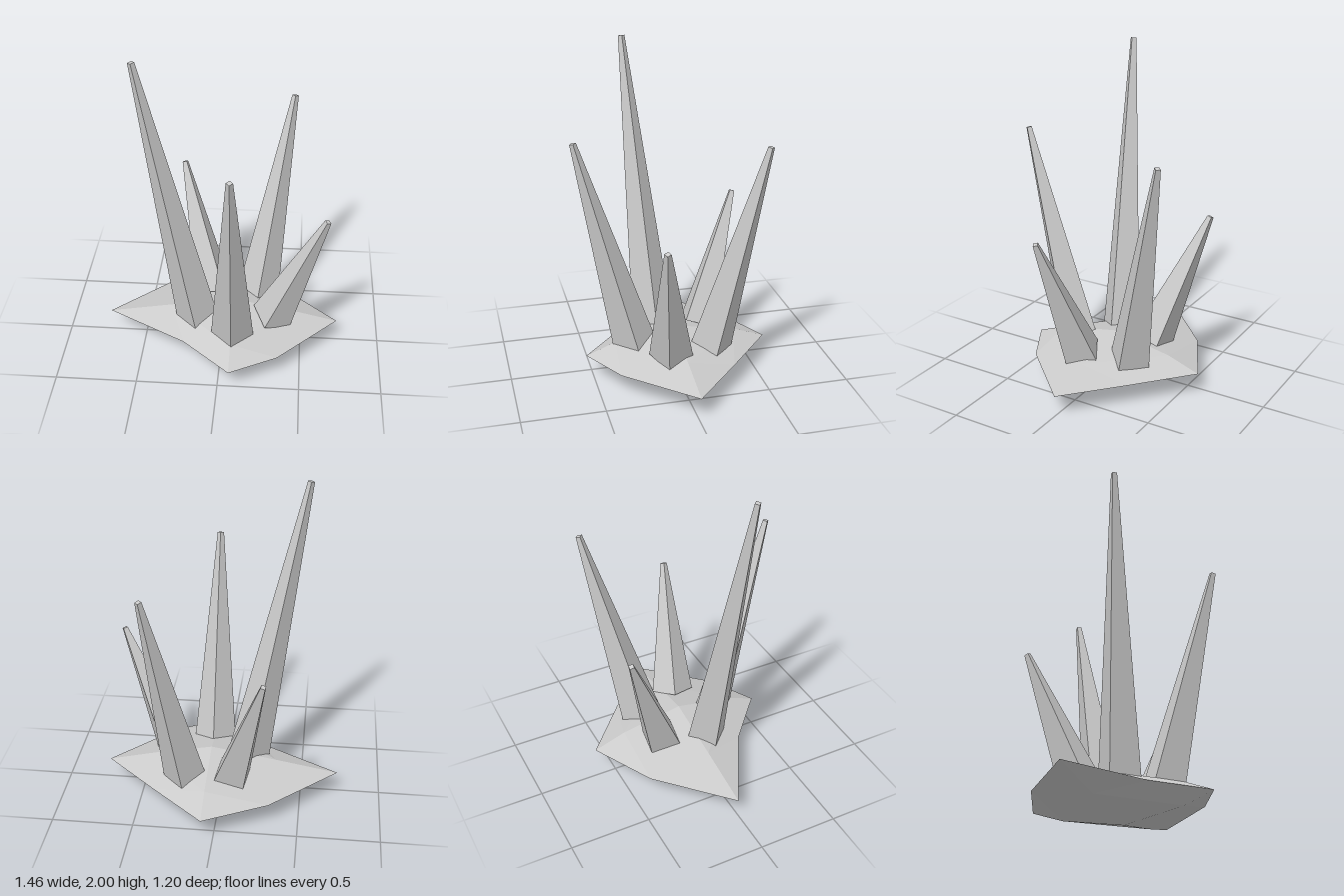
import * as THREE from 'three';

const material = new THREE.MeshStandardMaterial({ color: 0xcccccc, flatShading: true });

// Flat faceted rock: a subdivided octahedron pulled to an irregular outline
function createRock() {
  const cx = 0.07, cz = -0.01, midY = 0.14;
  // outline points by sign of x, z
  const outline = {
    '1,0': [0.73, -0.01], '1,1': [0.36, 0.38], '0,1': [0.07, 0.54], '-1,1': [-0.23, 0.27],
    '-1,0': [-0.73, -0.01], '-1,-1': [-0.32, -0.4], '0,-1': [0.07, -0.6], '1,-1': [0.4, -0.31],
  };
  // points halfway up or down each main ridge
  const ridge = {
    '1,0': [0.43, -0.01], '0,1': [0.07, 0.36], '-1,0': [-0.34, -0.01], '0,-1': [0.07, -0.4],
  };
  const sign = (v) => (Math.abs(v) < 0.1 ? 0 : Math.sign(v));
  const geometry = new THREE.OctahedronGeometry(1, 1);
  const pos = geometry.attributes.position;
  for (let i = 0; i < pos.count; i++) {
    const key = `${sign(pos.getX(i))},${sign(pos.getZ(i))}`;
    const y = pos.getY(i), side = sign(y);
    if (side === 0) pos.setXYZ(i, outline[key][0], midY, outline[key][1]);
    else if (Math.abs(y) > 0.9) pos.setXYZ(i, cx, midY + side * 0.14, cz);
    else pos.setXYZ(i, ridge[key][0], midY + side * 0.07, ridge[key][1]);
  }
  geometry.computeVertexNormals();
  const rock = new THREE.Mesh(geometry, material);
  rock.name = 'rockBase';
  return rock;
}

// Four-sided tapering spike from a base centre to a tip, rolled about its axis
function createSpike({ name, base, tip, roll = 0 }) {
  const start = new THREE.Vector3(...base);
  const end = new THREE.Vector3(...tip);
  const axis = end.clone().sub(start);
  const geometry = new THREE.CylinderGeometry(0.02, 0.132, axis.length(), 4);
  geometry.rotateY(roll);
  const spike = new THREE.Mesh(geometry, material);
  spike.quaternion.setFromUnitVectors(new THREE.Vector3(0, 1, 0), axis.normalize());
  spike.position.copy(start).add(end).multiplyScalar(0.5);
  spike.name = name;
  return spike;
}

export function createModel() {
  const group = new THREE.Group();
  group.name = 'spikeCluster';
  group.add(createRock());
  const spikes = [
    { name: 'tallRightSpike', base: [-0.16, 0.195, 0.068], tip: [-0.487, 1.996, 0.178] },
    { name: 'frontSpike', base: [0.075, 0.2, 0.24], tip: [0.077, 1.505, 0.582] },
    { name: 'backLeftSpike', base: [0.217, 0.205, -0.215], tip: [0.41, 1.505, -0.49] },
    { name: 'shortLeftSpike', base: [0.315, 0.215, 0.065], tip: [0.63, 1.012, 0.163], roll: -0.31 },
    { name: 'shortBackRightSpike', base: [-0.08, 0.215, -0.21], tip: [-0.28, 1.012, -0.482], roll: 0.65 },
  ];
  for (const spike of spikes) group.add(createSpike(spike));
  return group;
}
